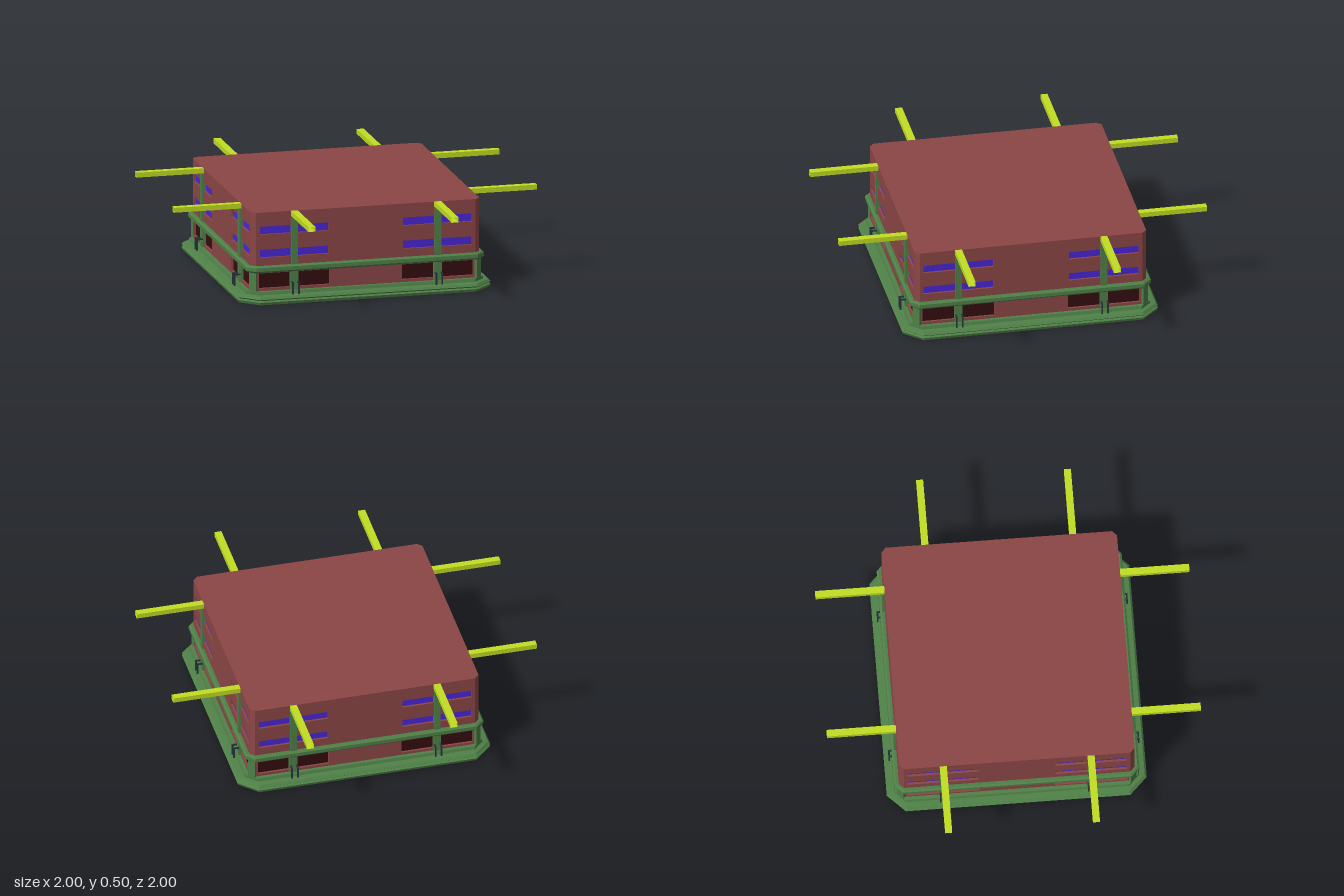
import * as THREE from 'three';

const mat = (color) => new THREE.MeshStandardMaterial({ color, side: THREE.DoubleSide, flatShading: true });

// Corners of a square with cut corners, half-width h, cut c
const octagon = (h, c) => [
  [h, h - c], [h - c, h], [c - h, h], [-h, h - c],
  [-h, c - h], [c - h, -h], [h - c, -h], [h, c - h],
];

// Faceted band joining cut-corner loops given as [half, cut, y]
function octBand(loops) {
  const pos = [];
  const rings = loops.map(([h, c, y]) => octagon(h, c).map(([x, z]) => [x, y, z]));
  for (let r = 0; r < rings.length - 1; r++) {
    for (let i = 0; i < 8; i++) {
      const j = (i + 1) % 8;
      const a = rings[r][i], b = rings[r][j], c = rings[r + 1][j], d = rings[r + 1][i];
      pos.push(...a, ...d, ...c, ...a, ...c, ...b);
    }
  }
  const g = new THREE.BufferGeometry();
  g.setAttribute('position', new THREE.Float32BufferAttribute(pos, 3));
  g.computeVertexNormals();
  return g;
}

export function createModel() {
  const model = new THREE.Group();
  model.name = 'building';
  const red = mat(0x8c4646), green = mat(0x4f8047), yellow = mat(0xc0dc22);
  const blue = mat(0x4826d8), dark = mat(0x340c0e), steel = mat(0x26343c);

  const add = (parent, name, geo, material, x = 0, y = 0, z = 0) => {
    const m = new THREE.Mesh(geo, material);
    m.name = name;
    m.position.set(x, y, z);
    parent.add(m);
    return m;
  };
  const box = (parent, name, material, x0, x1, y0, y1, z0, z1) =>
    add(parent, name, new THREE.BoxGeometry(x1 - x0, y1 - y0, z1 - z0), material,
      (x0 + x1) / 2, (y0 + y1) / 2, (z0 + z1) / 2);

  // Stepped foundation: open in the middle of its underside
  add(model, 'foundation', octBand([
    [0.62, 0.38, 0], [0.69, 0.095, 0], [0.695, 0.095, 0.015], [0.685, 0.09, 0.022],
    [0.695, 0.095, 0.03], [0.685, 0.09, 0.042], [0.655, 0.06, 0.046],
    [0.65, 0.05, 0.063], [0.615, 0.03, 0.063],
  ]), green);

  // Belt rail around the walls
  add(model, 'beltRail', octBand([
    [0.61, 0.03, 0.168], [0.645, 0.04, 0.165], [0.655, 0.045, 0.175], [0.655, 0.045, 0.195],
    [0.645, 0.04, 0.203], [0.61, 0.03, 0.2], [0.61, 0.03, 0.168],
  ]), green);

  // Flat roof
  const roofShape = new THREE.Shape(octagon(0.63, 0.025).map(([x, z]) => new THREE.Vector2(x, z)));
  add(model, 'roof', new THREE.ShapeGeometry(roofShape).rotateX(-Math.PI / 2), red, 0, 0.495, 0);

  // Openings on one side: x range, y range, pane material
  const openings = [
    [0.205, 0.585, 0.373, 0.417, blue, 'window'],
    [0.205, 0.585, 0.246, 0.29, blue, 'window'],
    [0.2, 0.59, 0.078, 0.16, dark, 'door'],
  ];

  // Wall outline with notches at the top for the beams
  const wall = new THREE.Shape([
    [-0.605, 0.05], [0.605, 0.05], [0.605, 0.494], [0.413, 0.494], [0.413, 0.468],
    [0.377, 0.468], [0.377, 0.494], [-0.377, 0.494], [-0.377, 0.468], [-0.413, 0.468],
    [-0.413, 0.494], [-0.605, 0.494],
  ].map(([x, y]) => new THREE.Vector2(x, y)));
  for (const s of [-1, 1]) {
    for (const [x0, x1, y0, y1] of openings) {
      const pts = [[x0, y0], [x0, y1], [x1, y1], [x1, y0]];
      wall.holes.push(new THREE.Path(pts.map(([x, y]) => new THREE.Vector2(s * x, y))));
    }
  }
  const wallGeo = new THREE.ExtrudeGeometry(wall, { depth: 0.015, bevelEnabled: false });

  // Hollow beam, open at both ends
  const beamGeo = new THREE.CylinderGeometry(Math.SQRT1_2, Math.SQRT1_2, 1, 4, 1, true)
    .rotateY(Math.PI / 4).rotateX(Math.PI / 2).scale(0.038, 0.027, 0.37);

  for (let k = 0; k < 4; k++) {
    const side = new THREE.Group();
    side.name = 'side' + (k + 1);
    side.rotation.y = k * Math.PI / 2;
    model.add(side);
    add(side, 'wall', wallGeo, red, 0, 0, 0.615);

    // Cut corner of the walls and its short green pier
    const corner = new THREE.Group();
    corner.name = 'corner';
    corner.position.set(0.6175, 0, 0.6175);
    corner.rotation.y = Math.PI / 4;
    side.add(corner);
    box(corner, 'cornerWall', red, -0.0177, 0.0177, 0.05, 0.494, -0.012, 0);
    box(corner, 'cornerPier', green, -0.022, 0.022, 0.06, 0.17, -0.012, 0.01);

    for (const s of [-1, 1]) {
      for (const [x0, x1, y0, y1, m, name] of openings) {
        add(side, name, new THREE.PlaneGeometry(x1 - x0, y1 - y0), m,
          s * (x0 + x1) / 2, (y0 + y1) / 2, 0.618);
      }
      // Post with a wider foot, roof beam and a pair of handles
      const bay = new THREE.Group();
      bay.name = 'postBay';
      bay.position.x = s * 0.395;
      side.add(bay);
      box(bay, 'post', green, -0.0175, 0.0175, 0.06, 0.469, 0.61, 0.641);
      box(bay, 'postFoot', green, -0.022, 0.022, 0.06, 0.168, 0.612, 0.636);
      add(bay, 'beam', beamGeo, yellow, 0, 0.4815, 0.815);
      for (const x of [-0.016, 0.016]) {
        box(bay, 'handleArm', steel, x - 0.004, x + 0.004, 0.102, 0.11, 0.635, 0.67);
        box(bay, 'handleLeg', steel, x - 0.004, x + 0.004, 0.045, 0.11, 0.662, 0.67);
      }
    }
  }
  return model;
}
